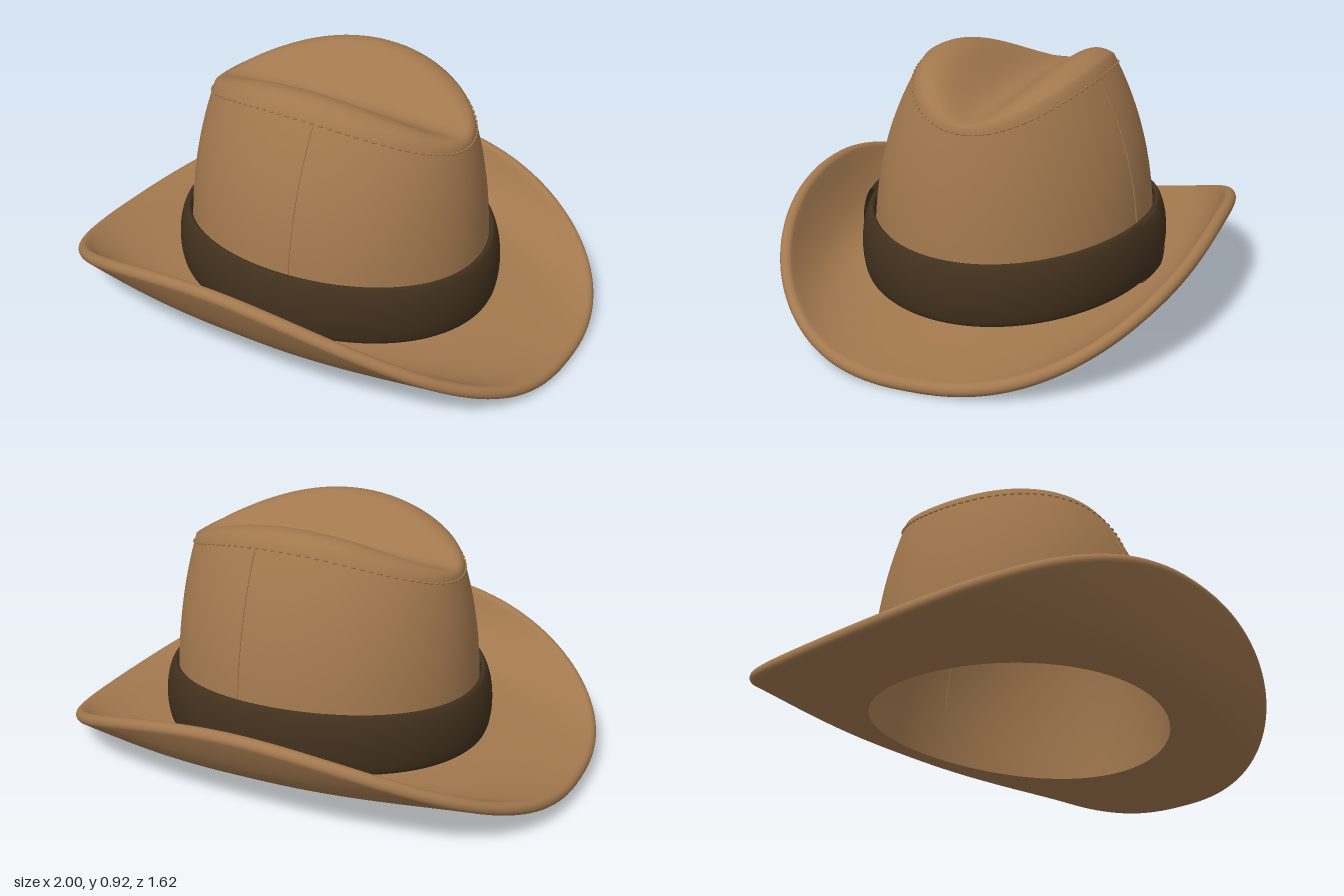
import * as THREE from 'three';

const felt = new THREE.MeshStandardMaterial({ color: 0xa2784e, side: THREE.DoubleSide });
felt.name = 'brown felt';
const leather = new THREE.MeshStandardMaterial({ color: 0x41301d, side: THREE.DoubleSide });
leather.name = 'dark band';

const TAU = Math.PI * 2;
const { lerp, smoothstep } = THREE.MathUtils;

// Smooth surface from rings: fn(f, j) gives the point at fraction f of ring j
function grid(cols, rows, closed, fn) {
  const pos = [], idx = [];
  const n = closed ? cols : cols + 1;
  for (let j = 0; j <= rows; j++)
    for (let i = 0; i < n; i++) pos.push(...fn(i / cols, j));
  for (let j = 0; j < rows; j++)
    for (let i = 0; i < cols; i++) {
      const a = j * n + i, b = j * n + ((i + 1) % n);
      idx.push(a, a + n, b, b, a + n, b + n);
    }
  const g = new THREE.BufferGeometry();
  g.setAttribute('position', new THREE.Float32BufferAttribute(pos, 3));
  g.setIndex(idx);
  g.computeVertexNormals();
  return g;
}

// Height of the brim before its front and back curl up
const baseHeight = (x) => 0.132 - 0.093 * x * x - 0.02 * x;

// Crown top: two ridges with a long valley between, X and Z in -1..1
function topHeight(X, Z) {
  const w = Math.max(1e-6, 1 - X * X);
  const q = Math.min(1, Math.abs(Z) / Math.sqrt(w));
  return 0.785 + w * (0.015 + 0.135 * Math.sin((Math.PI / 2) * q / 0.8) ** 2);
}

// Point on the crown wall, u = 0 at the brim and 1 at the rim
function wall(a, u, out = 0) {
  const c = Math.cos(a), s = Math.sin(a), k = u ** 2.6;
  const x = 0.015 + (0.59 - 0.068 * k + out) * c;
  return [
    x,
    lerp(baseHeight(x) - 0.016, topHeight(c, s), u),
    -0.01 - 0.01 * k + (0.52 - 0.19 * k + out) * s,
  ];
}

function crownGeometry() {
  const wallRows = 32, topRows = 28;
  return grid(128, wallRows + topRows, true, (f, j) => {
    const a = f * TAU;
    if (j <= wallRows) return wall(a, j / wallRows);
    const r = 1 - (j - wallRows) / topRows;
    const X = r * Math.cos(a), Z = r * Math.sin(a);
    return [0.015 + 0.522 * X, topHeight(X, Z), -0.02 + 0.33 * Z];
  });
}

// Middle of the brim, t = 0 at the crown and 1 at the lip
function brimMiddle(a, t) {
  const c = Math.cos(a), s = Math.sin(a), e = 2 / 2.4;
  const ex = 0.976 * Math.sign(c) * Math.abs(c) ** e;
  let ez = 0.785 * Math.sign(s) * Math.abs(s) ** e;
  if (s > 0) ez -= 0.045 * ex * s;
  const x = lerp(0.015 + 0.59 * c, ex, t);
  const z = lerp(-0.01 + 0.52 * s, ez, t);
  const rise = lerp(0.225, 0.26, (s + 1) / 2) * Math.max(0, 1 - ex * ex);
  return new THREE.Vector3(x, baseHeight(x) + rise * t ** 2.7, z);
}

function brimGeometry() {
  const flat = 24, roll = 10;
  return grid(160, flat * 2 + roll, true, (f, j) => {
    const a = f * TAU;
    const t = j <= flat ? j / flat : j >= flat + roll ? (2 * flat + roll - j) / flat : 1;
    const p = brimMiddle(a, t);
    const along = brimMiddle(a, t + 0.005).sub(brimMiddle(a, t - 0.005 * (t > 0))).normalize();
    const side = new THREE.Vector3(-Math.sin(a), 0, Math.cos(a));
    const up = side.cross(along).normalize();
    if (up.y < 0) up.negate();
    // half circle around the lip, flat faces elsewhere
    const turn = j <= flat ? 0 : j >= flat + roll ? Math.PI : ((j - flat) / roll) * Math.PI;
    const h = 0.016 + 0.008 * t ** 4;
    p.addScaledVector(up, Math.cos(turn) * h).addScaledVector(along, Math.sin(turn) * h);
    return p.toArray();
  });
}

// Bulging strip around the crown base between two angles
const bandProfile = new THREE.CatmullRomCurve3([
  [0.004, 0.11], [0.03, 0.115], [0.043, 0.16], [0.045, 0.22],
  [0.036, 0.28], [0.018, 0.325], [0.008, 0.332], [-0.002, 0.325],
].map(([r, y]) => new THREE.Vector3(r, y, 0)));

function bandGeometry(from, to, out = 0) {
  const closed = to - from >= TAU - 1e-6;
  return grid(closed ? 128 : 12, 24, closed, (f, j) => {
    const a = lerp(from, to, f), p = bandProfile.getPoint(j / 24);
    const c = Math.cos(a), s = Math.sin(a);
    const top = smoothstep(p.y, 0.12, 0.32);
    const x = 0.013 + (0.59 + p.x + out) * c;
    const lift = lerp(baseHeight(x) - 0.1, 0.04 * s * s - 0.012 * c, top);
    return [x, p.y + lift + out * 0.5, -0.01 + (0.522 + p.x + out) * s];
  });
}

export function createModel() {
  const hat = new THREE.Group();
  hat.name = 'hat';
  const add = (name, geometry, material, parent = hat) => {
    const m = new THREE.Mesh(geometry, material);
    m.name = name;
    parent.add(m);
    return m;
  };

  add('crown', crownGeometry(), felt);
  add('brim', brimGeometry(), felt);
  add('hatBand', bandGeometry(0, TAU), leather);

  // Keeper loops at the front and back of the band
  for (const [name, mid] of [['frontKeeper', Math.PI / 2 - 0.125], ['backKeeper', -Math.PI / 2 + 0.125]])
    add(name, bandGeometry(mid - 0.13, mid + 0.13, 0.016), leather);

  // Raised seams down the front and back of the crown
  for (const [name, sign] of [['frontSeam', 1], ['backSeam', -1]]) {
    const pts = [];
    for (let i = 0; i <= 12; i++) {
      const u = lerp(0.25, 0.95, i / 12);
      const a = sign * Math.acos(0.105 / (0.59 - 0.068 * u ** 2.6));
      pts.push(new THREE.Vector3(...wall(a, u, 0.001)));
    }
    add(name, new THREE.TubeGeometry(new THREE.CatmullRomCurve3(pts), 40, 0.003, 6), felt);
  }

  // Stitches around the rim of the crown
  const stitches = new THREE.Group();
  stitches.name = 'rimStitches';
  hat.add(stitches);
  const stitch = new THREE.CapsuleGeometry(0.004, 0.01, 3, 6).rotateX(Math.PI / 2);
  const count = 100;
  for (let i = 0; i < count; i++) {
    const a = (i / count) * TAU;
    const m = add('stitch', stitch, felt, stitches);
    m.position.set(...wall(a, 0.96, 0.002));
    m.lookAt(new THREE.Vector3(...wall(a + 0.03, 0.96, 0.002)));
  }
  return hat;
}
